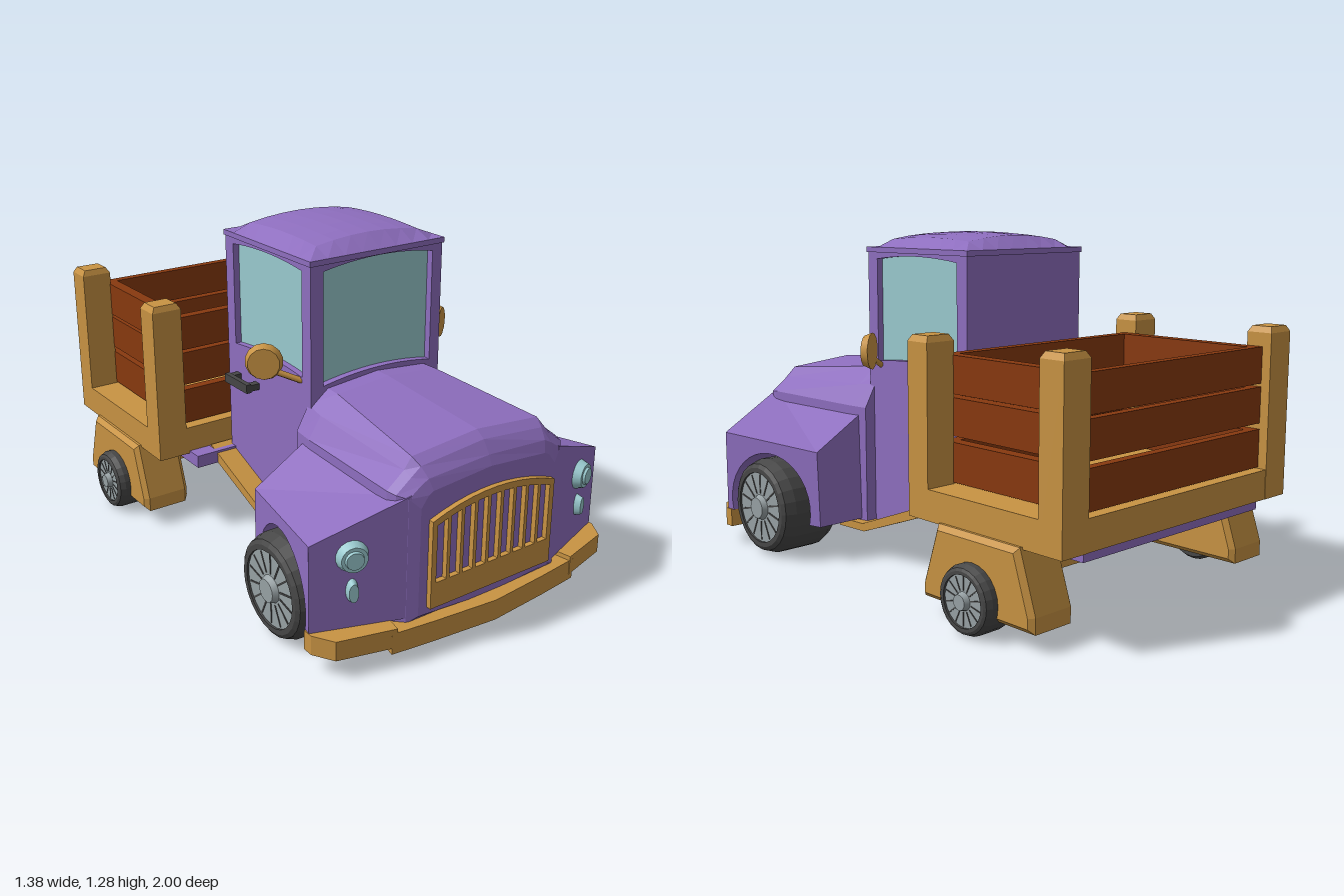
import * as THREE from 'three';

const mat = (name, color) => {
  const m = new THREE.MeshStandardMaterial({ color });
  m.name = name;
  return m;
};

// Hard-edged copy of a geometry
function flat(geo) {
  const g = geo.index ? geo.toNonIndexed() : geo;
  g.computeVertexNormals();
  return g;
}

// Mirror across x, keeping faces turned outward
function mirrorX(geo) {
  const g = geo.index ? geo.toNonIndexed() : geo.clone();
  g.scale(-1, 1, 1);
  for (const a of Object.values(g.attributes)) {
    const n = a.itemSize;
    for (let t = 0; t < a.count; t += 3)
      for (let k = 0; k < n; k++) {
        const p = (t + 1) * n + k, q = (t + 2) * n + k;
        [a.array[p], a.array[q]] = [a.array[q], a.array[p]];
      }
  }
  return g;
}

const poly = pts => new THREE.Shape(pts.map(p => new THREE.Vector2(p[0], p[1])));
const extrude = (shape, depth, bevel = 0) => new THREE.ExtrudeGeometry(shape, {
  depth, curveSegments: 10, bevelEnabled: bevel > 0, bevelSize: bevel, bevelThickness: bevel, bevelSegments: 1 });

// Side outline in (z, y), extruded between x0 and x1
const sideExtrude = (shape, x0, x1, bevel) =>
  extrude(shape, x1 - x0, bevel).rotateY(-Math.PI / 2).translate(x1, 0, 0);
// Plan outline in (x, z), extruded between y0 and y1
const planExtrude = (shape, y0, y1) => extrude(shape, y1 - y0).rotateX(Math.PI / 2).translate(0, y1, 0);
// Box from its limits
const box = (x0, x1, y0, y1, z0, z1) => new THREE.BoxGeometry(x1 - x0, y1 - y0, z1 - z0)
  .translate((x0 + x1) / 2, (y0 + y1) / 2, (z0 + z1) / 2);

// Skin through half cross-sections, listed rear to front, mirrored in x
function loft(sections) {
  const rings = sections.map(([z, half]) => [
    ...half.map(([x, y]) => [x, y, z]),
    ...half.slice(1, -1).reverse().map(([x, y]) => [-x, y, z])]);
  const n = rings[0].length, pos = [];
  const tri = (a, b, c) => pos.push(...a, ...b, ...c);
  for (let i = 0; i < rings.length - 1; i++)
    for (let j = 0; j < n; j++) {
      const k = (j + 1) % n, a = rings[i][j], b = rings[i][k], c = rings[i + 1][k], d = rings[i + 1][j];
      tri(a, d, c);
      tri(a, c, b);
    }
  const first = rings[0], last = rings[rings.length - 1];
  for (let j = 0; j < n; j++) {
    const k = (j + 1) % n;
    tri([0, 0.4, first[0][2]], first[j], first[k]);
    tri([0, 0.4, last[0][2]], last[k], last[j]);
  }
  const g = new THREE.BufferGeometry();
  g.setAttribute('position', new THREE.Float32BufferAttribute(pos, 3));
  return flat(g);
}

export function createModel() {
  const root = new THREE.Group();
  root.name = 'pickupTruck';
  const purple = mat('purplePaint', 0x8f6fc0), tan = mat('tanWood', 0xc89343), brown = mat('brownPlank', 0x88390f);
  const glass = mat('paleGlass', 0x9acbd0), grey = mat('wheelGrey', 0x98a2a5), dark = mat('darkRubber', 0x474747);
  const add = (name, geo, m) => {
    const mesh = new THREE.Mesh(geo, m);
    mesh.name = name;
    root.add(mesh);
  };
  const pair = (name, geo, m) => {
    add(name + 'Left', geo, m);
    add(name + 'Right', mirrorX(geo), m);
  };

  // Hood and nose
  add('hood', loft([
    [0.29, [[0, 0.765], [0.22, 0.745], [0.29, 0.69], [0.34, 0.60], [0.34, 0.13], [0, 0.13]]],
    [0.38, [[0, 0.765], [0.225, 0.745], [0.30, 0.68], [0.35, 0.60], [0.35, 0.13], [0, 0.13]]],
    [0.86, [[0, 0.725], [0.28, 0.70], [0.31, 0.66], [0.38, 0.605], [0.38, 0.13], [0, 0.13]]],
    [0.895, [[0, 0.70], [0.27, 0.675], [0.31, 0.645], [0.37, 0.60], [0.37, 0.13], [0, 0.13]]],
    [0.925, [[0, 0.655], [0.26, 0.64], [0.29, 0.625], [0.34, 0.59], [0.34, 0.13], [0, 0.13]]],
    [0.94, [[0, 0.62], [0.25, 0.60], [0.27, 0.59], [0.30, 0.55], [0.30, 0.15], [0, 0.13]]],
  ]), purple);

  // Fenders: arched side outline, rising and sweeping forward toward the hood
  const arch = new THREE.Shape();
  arch.moveTo(0.815, 0.15);
  arch.lineTo(0.815, 0.47);
  arch.lineTo(0.33, 0.445);
  arch.lineTo(0.32, 0.15);
  arch.lineTo(0.376, 0.15);
  arch.absarc(0.58, 0.2, 0.21, Math.PI + 0.24, -0.24, true);
  const fender = sideExtrude(arch, 0, 1);
  const fp = fender.attributes.position;
  for (let i = 0; i < fp.count; i++) {
    const z = fp.getZ(i), y = fp.getY(i), outer = fp.getX(i) > 0.5;
    fp.setX(i, outer ? 0.545 + (z - 0.32) * 0.22 : 0.33);
    if (!outer && y > 0.43) fp.setY(i, z > 0.7 ? 0.60 : 0.575);
    if (!outer && z > 0.8) fp.setZ(i, 0.928);
  }
  pair('fender', flat(fender), purple);

  // Cab: lower body, window walls, back wall, domed roof
  add('cabBody', sideExtrude(poly([[0.315, 0.13], [0.315, 0.75], [-0.25, 0.75], [-0.25, 0.31], [0.28, 0.13]]), -0.295, 0.295), purple);
  const windowWall = (a0, a1, b0, b1, low, arc) => {
    const s = poly([[a0, 0.74], [a1, 0.74], [a1, 1.225], [a0, 1.225]]);
    const h = new THREE.Path(), mid = (b0 + b1) / 2;
    h.moveTo(b0, low);
    h.lineTo(b0, 1.18);
    h.quadraticCurveTo(mid, 1.18 + arc, b1, 1.18);
    h.lineTo(b1, low);
    h.quadraticCurveTo(mid, low + arc, b0, low);
    s.holes.push(h);
    return s;
  };
  add('windshieldFrame', extrude(windowWall(-0.295, 0.295, -0.24, 0.25, 0.757, 0.045), 0.035).translate(0, 0, 0.28), purple);
  pair('doorWindowFrame', sideExtrude(windowWall(-0.25, 0.28, -0.195, 0.26, 0.785, 0.03), 0.262, 0.295), purple);
  add('cabBack', box(-0.295, 0.295, 0.74, 1.225, -0.25, -0.2), purple);
  add('windowGlass', box(-0.27, 0.27, 0.74, 1.215, -0.21, 0.287), glass);
  const roof = new THREE.BoxGeometry(0.6, 0.06, 0.575, 8, 1, 8).translate(0, 1.235, 0.033);
  const rp = roof.attributes.position;
  for (let i = 0; i < rp.count; i++) {
    if (rp.getY(i) < 1.23) continue;
    const u = rp.getX(i) / 0.3, v = (rp.getZ(i) - 0.033) / 0.2875;
    const edge = Math.max(Math.abs(u), Math.abs(v)) > 0.99;
    rp.setY(i, edge ? 1.225 : 1.284 - 0.035 * u * u - 0.018 * v * v);
  }
  add('roof', flat(roof), purple);

  // Door handles
  pair('doorHandle', box(0.332, 0.352, 0.64, 0.675, -0.19, -0.03), dark);
  pair('handleFrontStub', box(0.29, 0.335, 0.645, 0.67, -0.06, -0.03), dark);
  pair('handleRearStub', box(0.29, 0.335, 0.645, 0.67, -0.19, -0.16), dark);

  // Mirrors on stalks
  pair('mirror', new THREE.CylinderGeometry(0.058, 0.07, 0.03, 14).rotateX(Math.PI / 2).rotateY(0.62).translate(0.405, 0.84, 0.18), tan);
  const stalk = new THREE.LineCurve3(new THREE.Vector3(0.28, 0.765, 0.255), new THREE.Vector3(0.40, 0.82, 0.18));
  pair('mirrorStalk', new THREE.TubeGeometry(stalk, 1, 0.012, 6), tan);

  // Grille with nine slots under an arched top
  const archY = x => 0.55 - 0.05 * (x / 0.275) ** 2;
  const outline = [[-0.275, 0.175], [0.275, 0.175]];
  for (let i = 0; i <= 10; i++) outline.push([0.275 - i * 0.055, archY(0.275 - i * 0.055)]);
  const grille = poly(outline);
  for (let i = -4; i <= 4; i++) {
    const a = i * 0.058 - 0.022, b = i * 0.058 + 0.022;
    grille.holes.push(new THREE.Path([[a, 0.27], [a, archY(a) - 0.025], [b, archY(b) - 0.025], [b, 0.27]].map(p => new THREE.Vector2(...p))));
  }
  add('grille', extrude(grille, 0.035).translate(0.01, 0, 0.925), tan);

  // Headlights and small oval lamps
  const lamp = (r, d) => new THREE.CylinderGeometry(r * 0.75, r, d, 18).rotateX(Math.PI / 2);
  pair('headlightRim', lamp(0.06, 0.04).rotateY(0.33).translate(0.52, 0.415, 0.872), glass);
  pair('headlightLens', lamp(0.04, 0.03).rotateY(0.33).translate(0.525, 0.415, 0.885), glass);
  pair('smallLamp', lamp(0.045, 0.03).scale(0.5, 1, 1).rotateY(0.33).translate(0.52, 0.29, 0.872), glass);

  // Bumper
  add('bumperCentre', planExtrude(poly([[-0.38, 0.76], [0.38, 0.76], [0.42, 0.955], [0.25, 0.975], [0, 0.998], [-0.25, 0.975], [-0.42, 0.955]]), 0.057, 0.135), tan);
  pair('bumperEnd', planExtrude(poly([[0.37, 0.78], [0.655, 0.79], [0.655, 0.83], [0.61, 0.905], [0.40, 0.96]]), 0.08, 0.152), tan);

  // Running boards
  pair('runningBoard', sideExtrude(poly([[0.42, 0.11], [0.42, 0.14], [0.27, 0.145], [-0.27, 0.35], [-0.29, 0.31], [-0.22, 0.29], [0.26, 0.115]]), 0.27, 0.38), tan);

  // Wheels: tyre, rim disc, spoke grooves and hub
  const wheel = (name, r, w, x, y, z) => {
    const place = g => g.rotateZ(-Math.PI / 2).translate(x, y, z);
    const profile = [[0, -0.5], [0.9, -0.5], [1, -0.36], [1, 0.3], [0.92, 0.46], [0.84, 0.5], [0.74, 0.5], [0.74, 0.3]];
    const tyre = new THREE.LatheGeometry(profile.map(([a, b]) => new THREE.Vector2(a * r, b * w)), 24);
    pair(name + 'Tyre', place(flat(tyre)), dark);
    pair(name + 'Rim', place(new THREE.CylinderGeometry(r * 0.74, r * 0.74, 0.02, 24).translate(0, w * 0.5 - 0.018, 0)), grey);
    pair(name + 'Hub', place(new THREE.CylinderGeometry(r * 0.22, r * 0.28, 0.025, 14).translate(0, w * 0.5, 0)), grey);
    for (let i = 0; i < 14; i++)
      pair(name + 'Groove' + i, place(new THREE.BoxGeometry(r * 0.4, 0.004, r * 0.035)
        .translate(r * 0.5, w * 0.5 - 0.008, 0).rotateY(i * Math.PI / 7)), dark);
  };
  wheel('frontWheel', 0.19, 0.25, 0.53, 0.2, 0.58);
  wheel('rearWheel', 0.12, 0.13, 0.61, 0.128, -0.635);

  // Rear axle blocks and cross beams
  pair('axleBlock', sideExtrude(poly([[-0.40, 0.09], [-0.40, 0.125], [-0.465, 0.32], [-0.82, 0.32], [-0.885, 0.125], [-0.885, 0.09]]), 0.45, 0.61, 0.018), tan);
  for (const z of [-0.5, -0.78]) add('axleBeam', box(-0.46, 0.46, 0.22, 0.275, z - 0.03, z + 0.03), tan);

  // Cargo bed: underplate, frame and chamfered corner posts
  add('bedUnderplate', box(-0.47, 0.47, 0.29, 0.34, -0.97, -0.22), purple);
  add('bedFrame', box(-0.6, 0.6, 0.33, 0.44, -0.998, -0.285), tan);
  for (const [name, z] of [['frontPost', -0.335], ['rearPost', -0.95]]) {
    pair(name, box(0.48, 0.6, 0.33, 0.935, z - 0.05, z + 0.05), tan);
    const cap = new THREE.CylinderGeometry(0.55, Math.SQRT1_2, 0.022, 4).rotateY(Math.PI / 4);
    pair(name + 'Cap', flat(cap.scale(0.12, 1, 0.1).translate(0.54, 0.946, z)), tan);
  }

  // Plank walls
  for (const [y0, y1] of [[0.445, 0.585], [0.607, 0.74], [0.752, 0.885]]) {
    pair('sidePlank', box(0.435, 0.483, y0, y1, -0.965, -0.325), brown);
    add('frontPlank', box(-0.435, 0.435, y0, y1, -0.365, -0.325), brown);
    add('rearPlank', box(-0.435, 0.435, y0, y1, -0.965, -0.93), brown);
  }
  return root;
}
